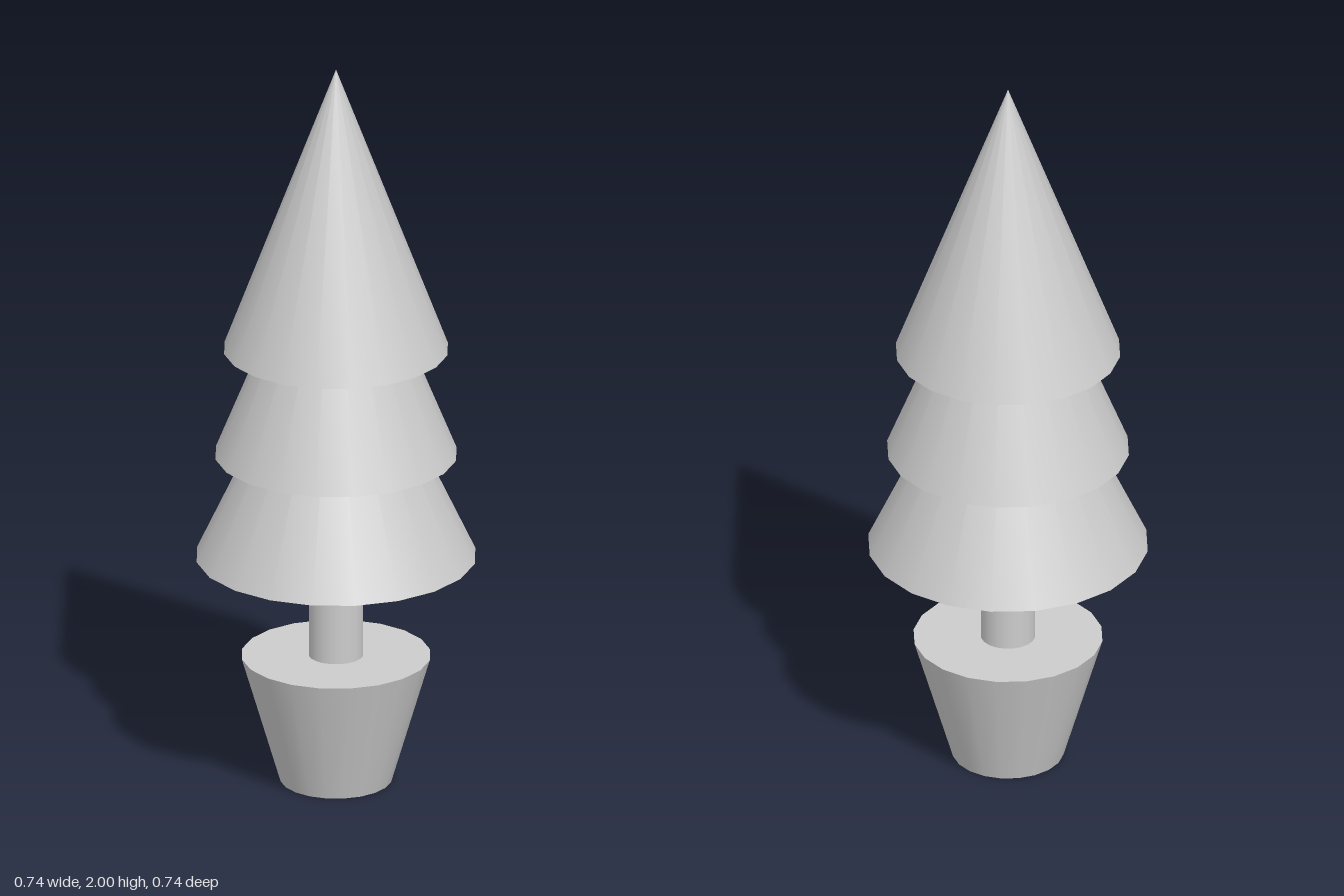
import * as THREE from 'three';

const SIDES = 20;

export function createModel() {
  const group = new THREE.Group();
  const material = new THREE.MeshStandardMaterial({ color: 0xcccccc });

  // Capped round part, tapering from the bottom to the top radius
  const addRound = (name, bottomRadius, topRadius, y0, y1) => {
    const geometry = new THREE.CylinderGeometry(topRadius, bottomRadius, y1 - y0, SIDES);
    const mesh = new THREE.Mesh(geometry, material);
    mesh.name = name;
    mesh.position.y = (y0 + y1) / 2;
    group.add(mesh);
  };

  // Pot and trunk
  addRound('pot', 0.147, 0.25, 0, 0.35);
  addRound('trunk', 0.072, 0.072, 0.3, 0.68);

  // Foliage: three equally tall cones, each overlapping the one below
  const coneHeight = 0.787;
  addRound('lowerFoliage', 0.37, 0, 0.63, 0.63 + coneHeight);
  addRound('middleFoliage', 0.32, 0, 0.917, 0.917 + coneHeight);
  addRound('upperFoliage', 0.297, 0, 1.213, 1.213 + coneHeight);

  return group;
}
